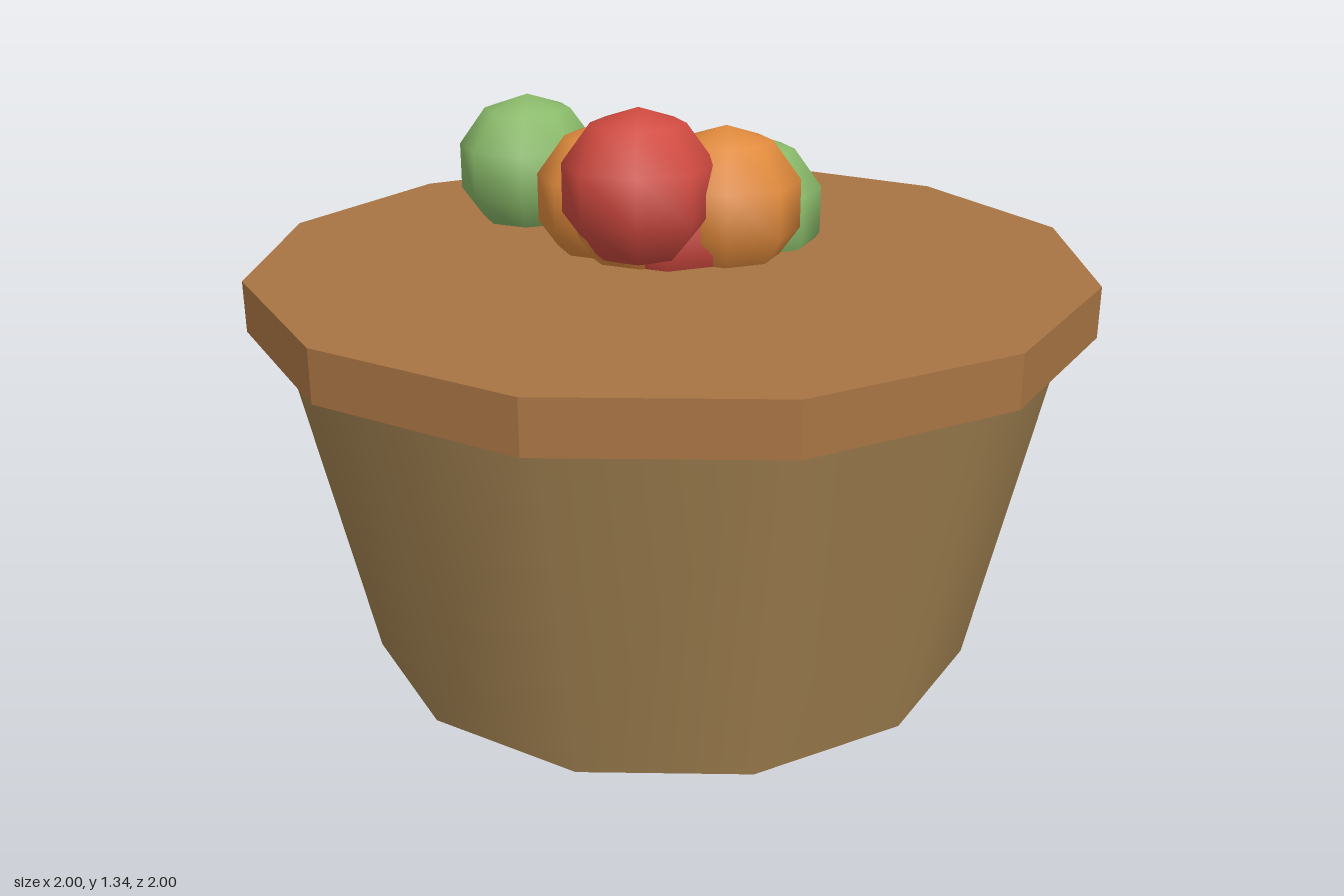
import * as THREE from 'three';

const SIDES = 12;

function addPart(group, name, geometry, color, position, flatShading = false) {
  const material = new THREE.MeshStandardMaterial({ color, flatShading });
  const mesh = new THREE.Mesh(geometry, material);
  mesh.name = name;
  mesh.position.set(...position);
  group.add(mesh);
  return mesh;
}

export function createModel() {
  const model = new THREE.Group();
  model.name = 'fruitTub';

  // Tapered tub, closed at the bottom, its top tucked inside the lid
  const tubHeight = 0.94;
  addPart(model, 'tub', new THREE.CylinderGeometry(0.95, 0.75, tubHeight, SIDES), 0xa08050, [0, tubHeight / 2, 0]);

  // Wide flat lid
  addPart(model, 'lid', new THREE.CylinderGeometry(1, 1, 0.12, SIDES), 0xa87444, [0, 0.91, 0], true);

  // Low-poly fruit heaped on the lid
  const fruit = new THREE.Group();
  fruit.name = 'fruitPile';
  model.add(fruit);
  const fruitGeometry = new THREE.SphereGeometry(0.187, 8, 5);
  const kinds = [
    ['redFruit', 0xd04a40, [[-0.125, 1.153, 0.02], [-0.013, 1.09, -0.15], [-0.01, 1.06, 0]]],
    ['orangeFruit', 0xe08a3c, [[0.09, 1.093, 0.09], [-0.06, 1.09, -0.15], [-0.06, 1.093, -0.04]]],
    ['greenFruit', 0x8aba6a, [[-0.02, 1.103, -0.515], [0.235, 1.043, 0.028], [0.085, 1.043, -0.28]]],
  ];
  for (const [name, color, places] of kinds) {
    for (const place of places) addPart(fruit, name, fruitGeometry, color, place);
  }

  return model;
}
